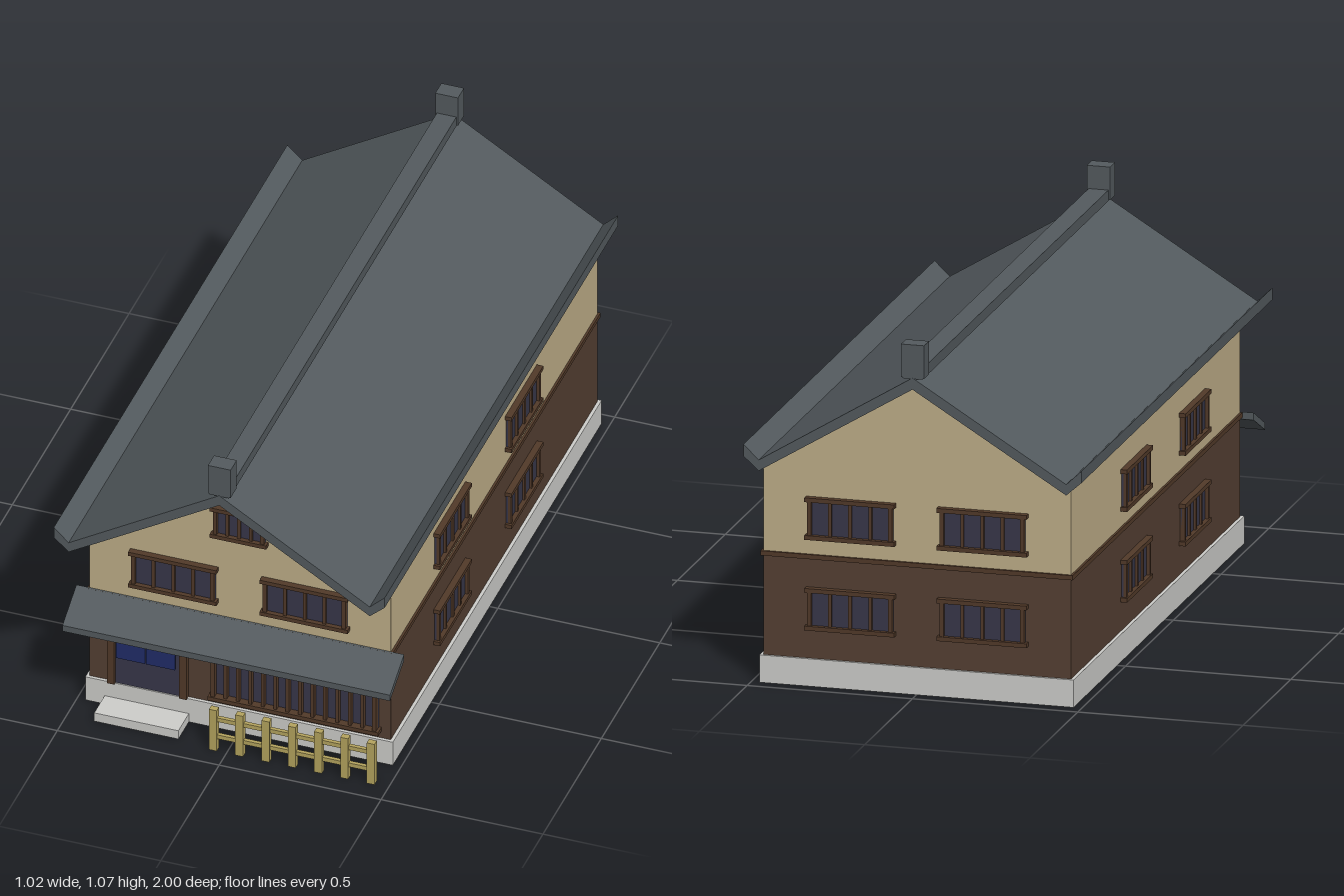
import * as THREE from 'three';

const mat = (name, color) => {
  const m = new THREE.MeshStandardMaterial({ color });
  m.name = name;
  return m;
};

export function createModel() {
  const stone = mat('stone', 0xcfcfcc);
  const plaster = mat('plaster', 0xc0af89);
  const timber = mat('dark timber', 0x554033);
  const frame = mat('frame wood', 0x523a29);
  const tile = mat('roof tile', 0x545b5f);
  const glass = mat('dark glass', 0x38374a);
  const cloth = mat('blue cloth', 0x212d69);
  const bamboo = mat('bamboo', 0xb6a55f);

  const model = new THREE.Group();
  model.name = 'townhouse';

  // Box given by its minimum and maximum corners
  const box = (name, m, [x0, y0, z0], [x1, y1, z1], parent = model) => {
    const mesh = new THREE.Mesh(new THREE.BoxGeometry(x1 - x0, y1 - y0, z1 - z0), m);
    mesh.position.set((x0 + x1) / 2, (y0 + y1) / 2, (z0 + z1) / 2);
    mesh.name = name;
    parent.add(mesh);
    return mesh;
  };

  // Outline extruded along z from z0 to z1
  const prism = (name, m, points, z0, z1) => {
    const shape = new THREE.Shape(points.map(([x, y]) => new THREE.Vector2(x, y)));
    const geo = new THREE.ExtrudeGeometry(shape, { depth: z1 - z0, bevelEnabled: false });
    geo.translate(0, 0, z0);
    const mesh = new THREE.Mesh(geo, m);
    mesh.name = name;
    model.add(mesh);
    return mesh;
  };

  const FRONT = 0.82, BACK = -0.95, SIDE = 0.465;

  // Foundation and doorstep
  box('foundation', stone, [-0.475, 0, BACK - 0.008], [0.475, 0.083, FRONT + 0.01]);
  box('doorstep', stone, [-0.415, 0, FRONT], [-0.155, 0.03, 0.92]);

  // Walls and the band between the storeys
  box('lowerWalls', timber, [-SIDE, 0.083, BACK], [SIDE, 0.39, FRONT]);
  prism('upperWalls', plaster,
    [[-SIDE, 0.39], [SIDE, 0.39], [SIDE, 0.655], [0, 0.937], [-SIDE, 0.655]], BACK, FRONT);
  box('storeyBand', frame, [-0.472, 0.384, BACK - 0.007], [0.472, 0.398, FRONT + 0.004]);

  // Main roof with upturned eaves, ridge beam and end ornaments
  prism('roof', tile, [
    [0, 0.97], [-0.465, 0.685], [-0.511, 0.729], [-0.511, 0.693], [-0.465, 0.652],
    [0, 0.935], [0.465, 0.652], [0.511, 0.693], [0.511, 0.729], [0.465, 0.685],
  ], -1, 1);
  box('ridgeBeam', tile, [-0.03, 0.967, -0.999], [0.03, 1, 0.999]);
  for (const s of [-1, 1]) {
    const o = box('ridgeOrnament', tile, [-0.035, 0.97, -0.026], [0.035, 1.07, 0.026]);
    o.position.z = s * 0.973;
  }

  // Sloping canopy above the entrance, drawn in the z-y plane and turned to run along x
  const canopy = prism('canopy', tile,
    [[-FRONT, 0.378], [-FRONT, 0.4], [-0.94, 0.336], [-0.94, 0.315]], -0.506, 0.506);
  canopy.rotation.y = Math.PI / 2;

  // Framed window, built facing +z about its centre
  const makeWindow = (name, w, h, panes, depth = 0.02) => {
    const g = new THREE.Group();
    g.name = name;
    const rail = 0.013, bar = 0.01, half = w / 2 - 0.008;
    box('pane', glass, [-half, -h / 2 + rail / 2, 0], [half, h / 2 - rail / 2, 0.006], g);
    for (const s of [-1, 1]) {
      const y = s * (h / 2 - rail / 2);
      box('rail', frame, [-w / 2, y - rail / 2, 0], [w / 2, y + rail / 2, depth], g);
      const x = s * (half - 0.006);
      box('jamb', frame, [x - 0.006, -h / 2 + rail, 0], [x + 0.006, h / 2 - rail, depth - 0.004], g);
    }
    const inner = half * 2 - 0.012;
    for (let i = 1; i < panes; i++) {
      const x = -inner / 2 + (inner * i) / panes;
      box('bar', frame, [x - bar / 2, -h / 2 + rail, 0], [x + bar / 2, h / 2 - rail, depth - 0.007], g);
    }
    model.add(g);
    return g;
  };
  const place = (g, x, y, z, turn = 0) => {
    g.position.set(x, y, z);
    g.rotation.y = turn;
  };

  // Windows on the front
  for (const s of [-1, 1]) place(makeWindow('frontWindow', 0.272, 0.127, 4), s * 0.203, 0.509, FRONT);
  place(makeWindow('gableWindow', 0.174, 0.108, 4), 0, 0.741, FRONT);
  place(makeWindow('latticeWindow', 0.527, 0.2, 13, 0.03), 0.173, 0.208, FRONT);

  // Two rows of windows on the sides and back
  for (const y of [0.235, 0.509]) {
    for (const s of [-1, 1]) {
      for (const z of [0.317, -0.295])
        place(makeWindow('sideWindow', 0.272, 0.127, 4), s * SIDE, y, z, s * Math.PI / 2);
      place(makeWindow('backWindow', 0.272, 0.127, 4), s * 0.2, y, BACK, Math.PI);
    }
  }

  // Entrance with a split cloth curtain hung on a rod
  const door = new THREE.Group();
  door.name = 'entrance';
  model.add(door);
  box('doorPanel', glass, [-0.385, 0.083, FRONT], [-0.181, 0.288, FRONT + 0.006], door);
  box('doorLintel', frame, [-0.405, 0.285, FRONT], [-0.16, 0.305, FRONT + 0.018], door);
  for (const x of [-0.405, -0.182])
    box('doorPost', frame, [x, 0.083, FRONT], [x + 0.022, 0.285, FRONT + 0.018], door);
  for (const x of [-0.375, -0.283])
    box('curtain', cloth, [x, 0.184, FRONT + 0.018], [x + 0.089, 0.286, FRONT + 0.022], door);
  const rod = new THREE.Mesh(new THREE.CylinderGeometry(0.004, 0.004, 0.2, 8), frame);
  rod.name = 'curtainRod';
  rod.rotation.z = Math.PI / 2;
  rod.position.set(-0.283, 0.283, FRONT + 0.014);
  door.add(rod);

  // Bamboo fence
  const fence = new THREE.Group();
  fence.name = 'fence';
  model.add(fence);
  for (let i = 0; i < 7; i++) {
    const x = -0.042 + i * 0.0812;
    box('fencePost', bamboo, [x - 0.012, 0, 0.918], [x + 0.012, 0.145, 0.938], fence);
  }
  for (const y of [0.049, 0.11])
    box('fenceRail', bamboo, [-0.053, y - 0.007, 0.922], [0.456, y + 0.007, 0.934], fence);

  return model;
}
